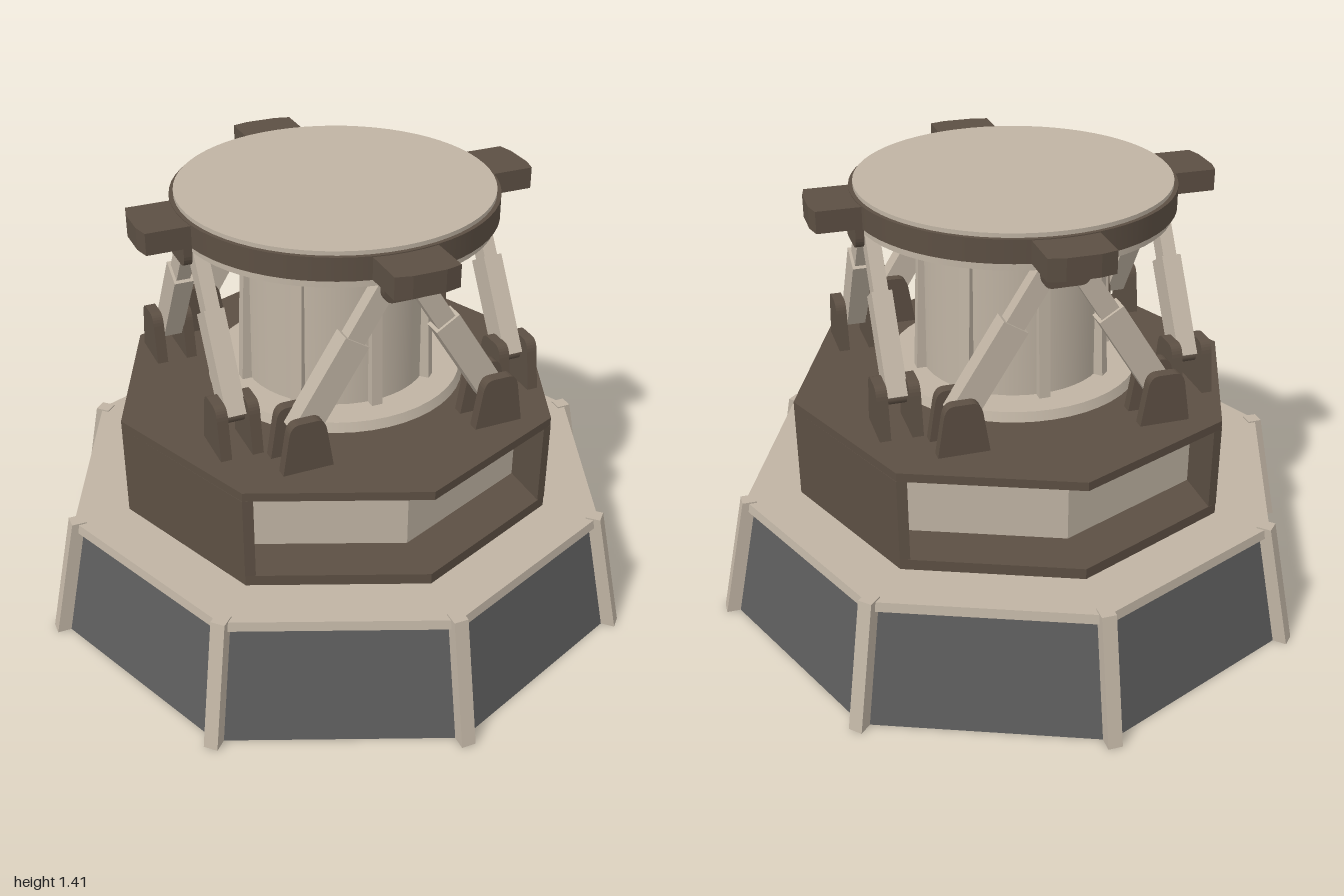
import * as THREE from 'three';

const material = (color, flatShading = true) => new THREE.MeshStandardMaterial({ color, flatShading });
const beige = material(0xbfb3a3);
const beigeSmooth = material(0xbfb3a3, false);
const brown = material(0x5c4f43);
const brownSmooth = material(0x5c4f43, false);
const panelGrey = material(0x5c5c5c);
panelGrey.side = THREE.DoubleSide;

function add(parent, name, geometry, mat, x = 0, y = 0, z = 0) {
  const mesh = new THREE.Mesh(geometry, mat);
  mesh.name = name;
  mesh.position.set(x, y, z);
  parent.add(mesh);
  return mesh;
}

// Upright prism or frustum standing from y0 to y1
function drum(parent, name, rTop, rBottom, y0, y1, sides, mat, open = false) {
  const g = new THREE.CylinderGeometry(rTop, rBottom, y1 - y0, sides, 1, open);
  return add(parent, name, g, mat, 0, (y0 + y1) / 2, 0);
}

const outline = (points) => new THREE.Shape(points.map(([x, y]) => new THREE.Vector2(x, y)));

// Extrusion centred on its own depth
function slab(shape, depth) {
  const g = new THREE.ExtrudeGeometry(shape, { depth, bevelEnabled: false, curveSegments: 6 });
  return g.translate(0, 0, -depth / 2);
}

// Flared octagonal skirt, open below
function buildBase() {
  const base = new THREE.Group();
  base.name = 'base';
  drum(base, 'skirtPanels', 0.885, 0.965, 0, 0.385, 8, panelGrey, true);
  drum(base, 'deckPlate', 0.9, 0.905, 0.375, 0.405, 8, beige);
  const rib = slab(outline([[0.95, 0], [1, 0], [0.912, 0.41], [0.865, 0.41]]), 0.045);
  for (let i = 0; i < 8; i++) add(base, 'cornerRib', rib, beige).rotation.y = i * Math.PI / 4;
  return base;
}

// Octagonal housing with a recessed window at front and back
function buildHousing() {
  const housing = new THREE.Group();
  housing.name = 'housing';
  drum(housing, 'housingFloor', 0.72, 0.72, 0.405, 0.44, 8, brown);
  drum(housing, 'housingRoof', 0.72, 0.72, 0.71, 0.738, 8, brown);
  const core = outline([
    [0.72, 0], [0.51, 0.51], [0.48, 0.52], [0.48, 0.34], [0, 0.54], [-0.48, 0.34], [-0.48, 0.52], [-0.51, 0.51],
    [-0.72, 0], [-0.51, -0.51], [-0.48, -0.52], [-0.48, -0.34], [0, -0.54], [0.48, -0.34], [0.48, -0.52], [0.51, -0.51],
  ]);
  add(housing, 'housingWalls', slab(core, 0.27), brown, 0, 0.575, 0).rotation.x = -Math.PI / 2;
  // Light panes at the back of each recess
  const pane = slab(outline([[0.48, 0.34], [0.48, 0.355], [0, 0.555], [-0.48, 0.355], [-0.48, 0.34], [0, 0.54]]), 0.27);
  for (const side of [1, -1]) {
    const mesh = add(housing, 'windowPane', pane, beige, 0, 0.575, 0);
    mesh.rotation.x = side * Math.PI / 2;
  }
  return housing;
}

// Central ribbed column with foot flange
function buildColumn() {
  const column = new THREE.Group();
  column.name = 'column';
  drum(column, 'footFlange', 0.4, 0.41, 0.775, 0.805, 48, beigeSmooth);
  drum(column, 'columnBody', 0.29, 0.295, 0.8, 1.32, 48, beigeSmooth);
  const fin = slab(outline([[0.25, 0.8], [0.325, 0.8], [0.303, 1.31], [0.25, 1.31]]), 0.035);
  for (let i = 0; i < 8; i++) add(column, 'columnFin', fin, beige).rotation.y = i * Math.PI / 4;
  return column;
}

// Straight two-stage strut in the local xy plane
function buildStrut(from, to) {
  const strut = new THREE.Group();
  strut.name = 'strut';
  const dir = to.clone().sub(from);
  const length = dir.length();
  const sleeve = length * 0.62;
  add(strut, 'strutSleeve', new THREE.BoxGeometry(0.085, sleeve, 0.062), beige, 0, sleeve / 2, 0);
  add(strut, 'strutRod', new THREE.BoxGeometry(0.062, length, 0.044), beige, 0, length / 2, 0);
  strut.position.copy(from);
  strut.rotation.z = Math.atan2(-dir.x, dir.y);
  return strut;
}

// Rounded bracket plates for the feet and the upper joints
function footShape() {
  const s = new THREE.Shape();
  s.moveTo(-0.078, 0.775);
  s.lineTo(0.078, 0.775);
  s.lineTo(0.058, 0.9);
  s.quadraticCurveTo(0.052, 0.936, 0.025, 0.936);
  s.lineTo(-0.025, 0.936);
  s.quadraticCurveTo(-0.052, 0.936, -0.058, 0.9);
  s.closePath();
  return s;
}

function jointShape() {
  const s = new THREE.Shape();
  s.moveTo(-0.072, 1.335);
  s.lineTo(-0.072, 1.285);
  s.quadraticCurveTo(-0.07, 1.25, -0.04, 1.25);
  s.lineTo(0.04, 1.25);
  s.quadraticCurveTo(0.07, 1.25, 0.072, 1.285);
  s.lineTo(0.072, 1.335);
  s.closePath();
  return s;
}

// One side of the support: top tab, joint, two struts and two feet
function buildSupport() {
  const support = new THREE.Group();
  support.name = 'support';
  const r = 0.458;
  const tab = outline([[-0.1, -0.4], [0.1, -0.4], [0.1, -0.625], [0.05, -0.637], [-0.05, -0.637], [-0.1, -0.625]]);
  add(support, 'topTab', slab(tab, 0.068), brown, 0, 1.36, 0).rotation.x = -Math.PI / 2;
  const joint = slab(jointShape(), 0.026);
  for (const z of [r - 0.034, r + 0.036]) add(support, 'jointPlate', joint, brown, 0, 0, z);
  const foot = slab(footShape(), 0.034);
  const pin = new THREE.CylinderGeometry(0.02, 0.02, 0.12, 12).rotateX(Math.PI / 2);
  add(support, 'jointPin', pin, brownSmooth, 0, 1.285, r - 0.01).scale.z = 0.7;
  for (const side of [1, -1]) {
    const x = side * 0.31;
    for (const z of [r - 0.046, r + 0.052]) add(support, 'footPlate', foot, brown, x, 0, z);
    add(support, 'footPin', pin, brownSmooth, x, 0.875, r);
    const strut = buildStrut(new THREE.Vector3(x, 0.87, r), new THREE.Vector3(side * 0.04, 1.3, r));
    support.add(strut);
  }
  return support;
}

export function createModel() {
  const model = new THREE.Group();
  model.name = 'supportedPlatform';
  model.add(buildBase(), buildHousing(), buildColumn());

  // Round top platform with a brown rim
  drum(model, 'platform', 0.487, 0.487, 1.3, 1.41, 64, beigeSmooth);
  drum(model, 'platformRim', 0.5, 0.5, 1.325, 1.397, 64, brownSmooth);

  for (let i = 0; i < 4; i++) {
    const support = buildSupport();
    support.rotation.y = i * Math.PI / 2;
    model.add(support);
  }
  return model;
}
